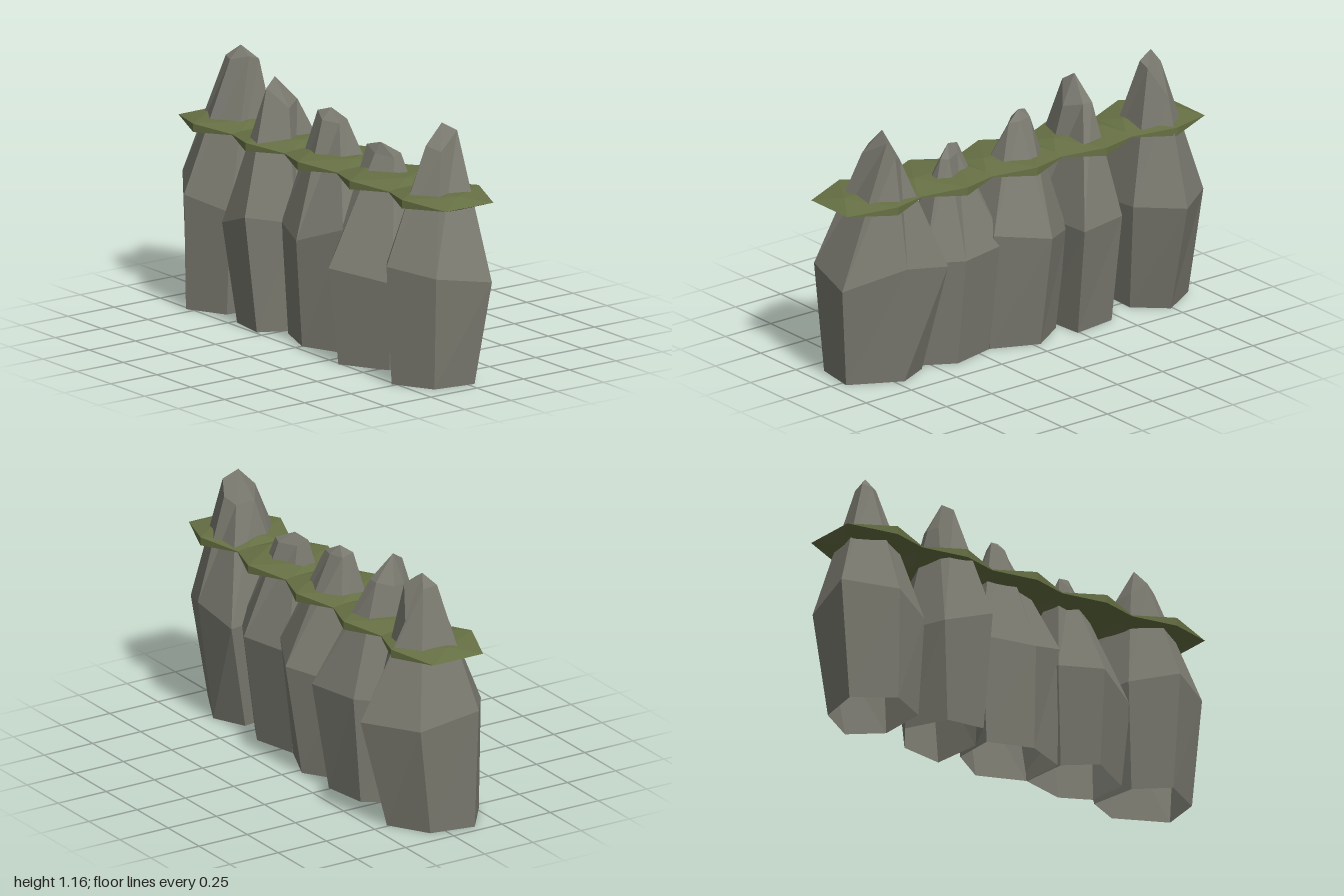
import * as THREE from 'three';

// Boulders are open underneath, so the stone is two-sided
const stone = new THREE.MeshStandardMaterial({ color: 0x7a7a70, flatShading: true, side: THREE.DoubleSide });
stone.name = 'stone grey';
const moss = new THREE.MeshStandardMaterial({ color: 0x667044, flatShading: true });
moss.name = 'moss green';

// Six-sided boulder lofted from base [x, z], waist and shoulder [x, y, z] up to a peak.
// Rings run from the front corner towards +x.
function boulder(name, base, waist, shoulder, peak) {
  const rings = [base.map(([x, z]) => [x, 0, z]), waist, shoulder];
  const tris = [];
  for (let i = 0; i < 6; i++) {
    const j = (i + 1) % 6;
    for (let r = 0; r < 2; r++) {
      const [a, b, c, d] = [rings[r][i], rings[r][j], rings[r + 1][j], rings[r + 1][i]];
      tris.push(a, b, c, a, c, d);
    }
    tris.push(shoulder[i], shoulder[j], peak);
  }
  const geometry = new THREE.BufferGeometry();
  geometry.setAttribute('position', new THREE.Float32BufferAttribute(tris.flat(), 3));
  geometry.computeVertexNormals();
  const mesh = new THREE.Mesh(geometry, stone);
  mesh.name = name;
  return mesh;
}

export function createModel() {
  const wall = new THREE.Group();
  wall.name = 'stoneWall';

  wall.add(
    boulder('tallRoundBoulder',
      [[-0.79, 0.265], [-0.61, 0.175], [-0.605, -0.06], [-0.74, -0.18], [-0.92, -0.07], [-0.96, 0.135]],
      [[-0.79, 0.52, 0.275], [-0.58, 0.47, 0.18], [-0.57, 0.5, -0.13],
        [-0.73, 0.51, -0.31], [-0.95, 0.5, -0.14], [-1, 0.56, 0.13]],
      [[-0.765, 1.1, 0.045], [-0.7, 1.12, -0.01], [-0.7, 1.1, -0.065],
        [-0.78, 0.96, -0.11], [-0.8, 1.1, -0.03], [-0.81, 1.11, 0.035]],
      [-0.76, 1.16, -0.01]),
    boulder('leaningBoulder',
      [[-0.48, 0.215], [-0.3, 0.24], [-0.22, 0.08], [-0.24, -0.16], [-0.45, -0.13], [-0.57, 0.03]],
      [[-0.53, 0.45, 0.26], [-0.3, 0.53, 0.305], [-0.21, 0.49, 0.1],
        [-0.22, 0.5, -0.235], [-0.47, 0.5, -0.18], [-0.58, 0.47, 0.03]],
      [[-0.44, 0.98, 0.1], [-0.38, 1.07, 0.13], [-0.32, 0.98, 0.05],
        [-0.37, 1, -0.03], [-0.42, 1, -0.03], [-0.455, 0.98, 0.04]],
      [-0.4, 1.11, 0.07]),
    boulder('middleBoulder',
      [[0, 0.215], [0.185, 0.14], [0.18, -0.075], [-0.03, -0.165], [-0.2, -0.055], [-0.205, 0.14]],
      [[-0.01, 0.48, 0.24], [0.2, 0.56, 0.14], [0.2, 0.55, -0.13],
        [-0.03, 0.52, -0.25], [-0.235, 0.47, -0.09], [-0.24, 0.5, 0.15]],
      [[-0.05, 0.99, 0.07], [0.01, 0.98, 0.02], [0.025, 1, -0.01],
        [-0.03, 1, -0.02], [-0.1, 1, 0], [-0.11, 1.02, 0.05]],
      [-0.05, 1.04, 0.02]),
    boulder('shortBoulder',
      [[0.33, 0.26], [0.54, 0.14], [0.53, -0.05], [0.395, -0.125], [0.185, -0.075], [0.2, 0.145]],
      [[0.32, 0.44, 0.305], [0.58, 0.4, 0.15], [0.56, 0.5, -0.1],
        [0.4, 0.5, -0.19], [0.14, 0.5, -0.13], [0.175, 0.47, 0.16]],
      [[0.32, 0.92, 0.055], [0.4, 0.91, 0.01], [0.41, 0.93, -0.02],
        [0.37, 0.92, -0.03], [0.29, 0.92, 0.015], [0.26, 0.95, 0.055]],
      [0.33, 0.97, 0.03]),
    boulder('tallPointedBoulder',
      [[0.73, 0.265], [0.91, 0.165], [0.94, -0.03], [0.71, -0.15], [0.56, -0.08], [0.595, 0.14]],
      [[0.74, 0.54, 0.3], [0.95, 0.51, 0.185], [1, 0.465, -0.08],
        [0.74, 0.55, -0.21], [0.5, 0.5, -0.19], [0.56, 0.5, 0.165]],
      [[0.73, 1.05, 0.08], [0.795, 1.03, 0.045], [0.75, 1.1, -0.075],
        [0.715, 1.03, -0.09], [0.665, 1, -0.06], [0.67, 1, 0.04]],
      [0.725, 1.14, -0.01]),
  );

  // Flattened faceted moss pads around the peaks, overlapping their neighbours
  for (let i = 0; i < 5; i++) {
    const pad = new THREE.Mesh(new THREE.IcosahedronGeometry(1, 0), moss);
    pad.name = `mossPad${i + 1}`;
    pad.scale.set(0.255, 0.036, 0.245);
    pad.position.set(-0.773 + i * 0.3855, 0.82, 0.03);
    wall.add(pad);
  }

  return wall;
}
